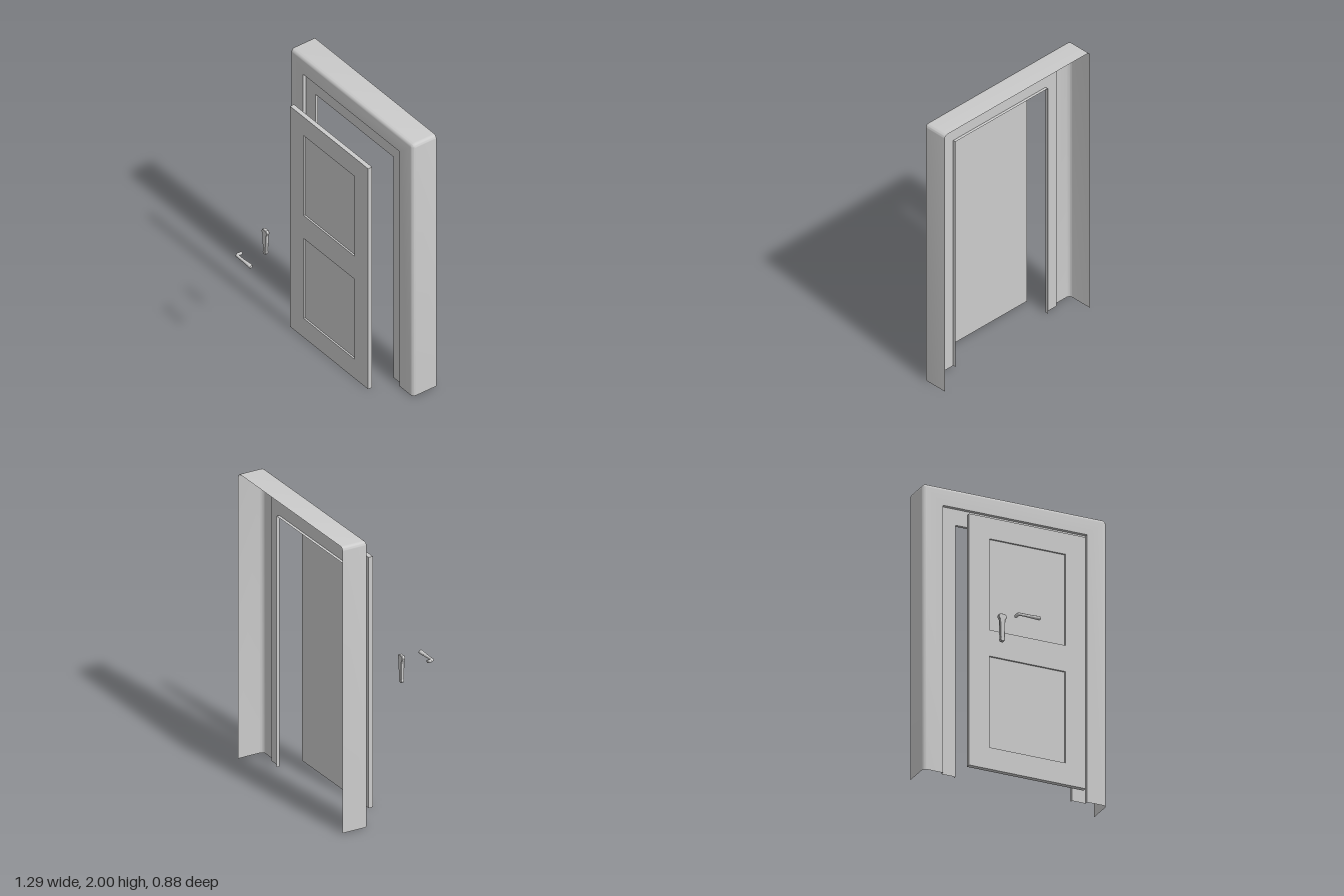
import * as THREE from 'three';
import { toCreasedNormals } from 'three/addons/utils/BufferGeometryUtils.js';

const grey = new THREE.MeshStandardMaterial({ color: 0xcccccc });
const greyThin = new THREE.MeshStandardMaterial({ color: 0xcccccc, side: THREE.DoubleSide });

function add(parent, name, geometry, material = grey) {
  const mesh = new THREE.Mesh(geometry, material);
  mesh.name = name;
  parent.add(mesh);
  return mesh;
}

// Joins consecutive rings of points into a surface, leaving out collapsed triangles
function loft(rings, closed, crease) {
  const out = [];
  const tri = new THREE.Triangle();
  const put = (a, b, c) => {
    if (tri.set(a, b, c).getArea() > 1e-9) for (const p of [a, b, c]) out.push(p.x, p.y, p.z);
  };
  for (let i = 0; i < rings.length - 1; i++) {
    const A = rings[i], B = rings[i + 1], n = A.length;
    for (let j = 0; j < (closed ? n : n - 1); j++) {
      const k = (j + 1) % n;
      put(A[j], A[k], B[k]);
      put(A[j], B[k], B[j]);
    }
  }
  const g = new THREE.BufferGeometry();
  g.setAttribute('position', new THREE.Float32BufferAttribute(out, 3));
  return toCreasedNormals(g, crease);
}

// Arch outline open at the floor, counter-clockwise from the lower +x corner
function arch(w, h, r, z) {
  const pts = [new THREE.Vector3(w, 0, z)];
  for (const [cx, start] of [[w - r, 0], [r - w, Math.PI / 2]]) {
    for (let i = 0; i <= 6; i++) {
      const a = start + (i / 6) * Math.PI / 2;
      pts.push(new THREE.Vector3(cx + r * Math.cos(a), h - r + r * Math.sin(a), z));
    }
  }
  pts.push(new THREE.Vector3(-w, 0, z));
  return pts;
}

// Hollow surround: outer wall, rounded front edge, face, rebate and inner lip
function frameGeometry() {
  const R = 0.026, W = 0.645, H = 2, front = -0.257;
  const rings = [arch(W, H, R, -0.443)];
  for (let i = 0; i <= 6; i++) {
    const a = (i / 6) * Math.PI / 2;
    const d = R * (1 - Math.cos(a));
    rings.push(arch(W - d, H - d, R - d, front - R + R * Math.sin(a)));
  }
  rings.push(
    arch(0.506, 1.87, 0, front),
    arch(0.506, 1.87, 0, -0.28),
    arch(0.41, 1.76, 0, -0.28),
    arch(0.41, 1.76, 0, -0.3)
  );
  return loft(rings, false, 0.6);
}

function rectangle(Type, x, y0, y1) {
  return new Type([[-x, y0], [x, y0], [x, y1], [-x, y1]].map(p => new THREE.Vector2(...p)));
}

// Door leaf: flat back slab with a front layer cut out for two sunk panels
function buildDoor() {
  const door = new THREE.Group();
  door.name = 'door';
  const back = 0.02, sunk = 0.012;
  const slab = add(door, 'doorSlab', new THREE.BoxGeometry(0.82, 1.757, back));
  slab.position.set(0, 0.8785, -0.111 + back / 2);
  const face = rectangle(THREE.Shape, 0.41, 0, 1.757);
  face.holes.push(rectangle(THREE.Path, 0.267, 0.152, 0.79), rectangle(THREE.Path, 0.267, 0.973, 1.61));
  const rails = add(door, 'doorRails', new THREE.ExtrudeGeometry(face, { depth: sunk, bevelEnabled: false }));
  rails.position.z = -0.111 + back;
  return door;
}

// Handle plate: wide head, tapering shank and small round foot
function plateGeometry() {
  const half = [
    [0.016, 0.96], [0.025, 0.953], [0.029, 0.942], [0.026, 0.931], [0.019, 0.918],
    [0.018, 0.9], [0.015, 0.8], [0.014, 0.793], [0.017, 0.784], [0.015, 0.775], [0.008, 0.768]
  ];
  const outline = [
    ...half.map(([x, y]) => new THREE.Vector2(x, y)),
    ...half.slice().reverse().map(([x, y]) => new THREE.Vector2(-x, y))
  ];
  return new THREE.ExtrudeGeometry(new THREE.Shape(outline), {
    depth: 0.018, bevelThickness: 0.003, bevelSize: 0.003, bevelOffset: -0.003, bevelSegments: 1
  });
}

// Lever: stub coming forward, tight bend, then a grip that swells to its end
function leverGeometry() {
  // x, z, turn from forward (0) to sideways (1), half depth, half height
  const stations = [
    [-0.306, 0.385, 0, 0, 0], [-0.306, 0.385, 0, 0.011, 0.011], [-0.306, 0.408, 0, 0.011, 0.011],
    [-0.304, 0.418, 0.3, 0.012, 0.011], [-0.298, 0.423, 0.7, 0.012, 0.011], [-0.286, 0.424, 1, 0.01, 0.01],
    [-0.25, 0.424, 1, 0.01, 0.01], [-0.21, 0.423, 1, 0.012, 0.011], [-0.17, 0.423, 1, 0.015, 0.013],
    [-0.157, 0.424, 1, 0.015, 0.013], [-0.152, 0.424, 1, 0.011, 0.01], [-0.152, 0.424, 1, 0, 0]
  ];
  const rings = stations.map(([x, z, turn, d, h]) => {
    const t = turn * Math.PI / 2;
    return Array.from({ length: 16 }, (_, i) => {
      const a = (i / 16) * Math.PI * 2, s = d * Math.cos(a);
      return new THREE.Vector3(x + s * Math.cos(t), 0.865 + h * Math.sin(a), z - s * Math.sin(t));
    });
  });
  return loft(rings, true, 0.8);
}

export function createModel() {
  const model = new THREE.Group();
  model.name = 'doorAssembly';
  add(model, 'doorFrame', frameGeometry(), greyThin);
  model.add(buildDoor());

  const handle = new THREE.Group();
  handle.name = 'handle';
  add(handle, 'handlePlate', plateGeometry()).position.set(-0.309, 0, 0.183);
  add(handle, 'handleLever', leverGeometry());
  model.add(handle);
  return model;
}
